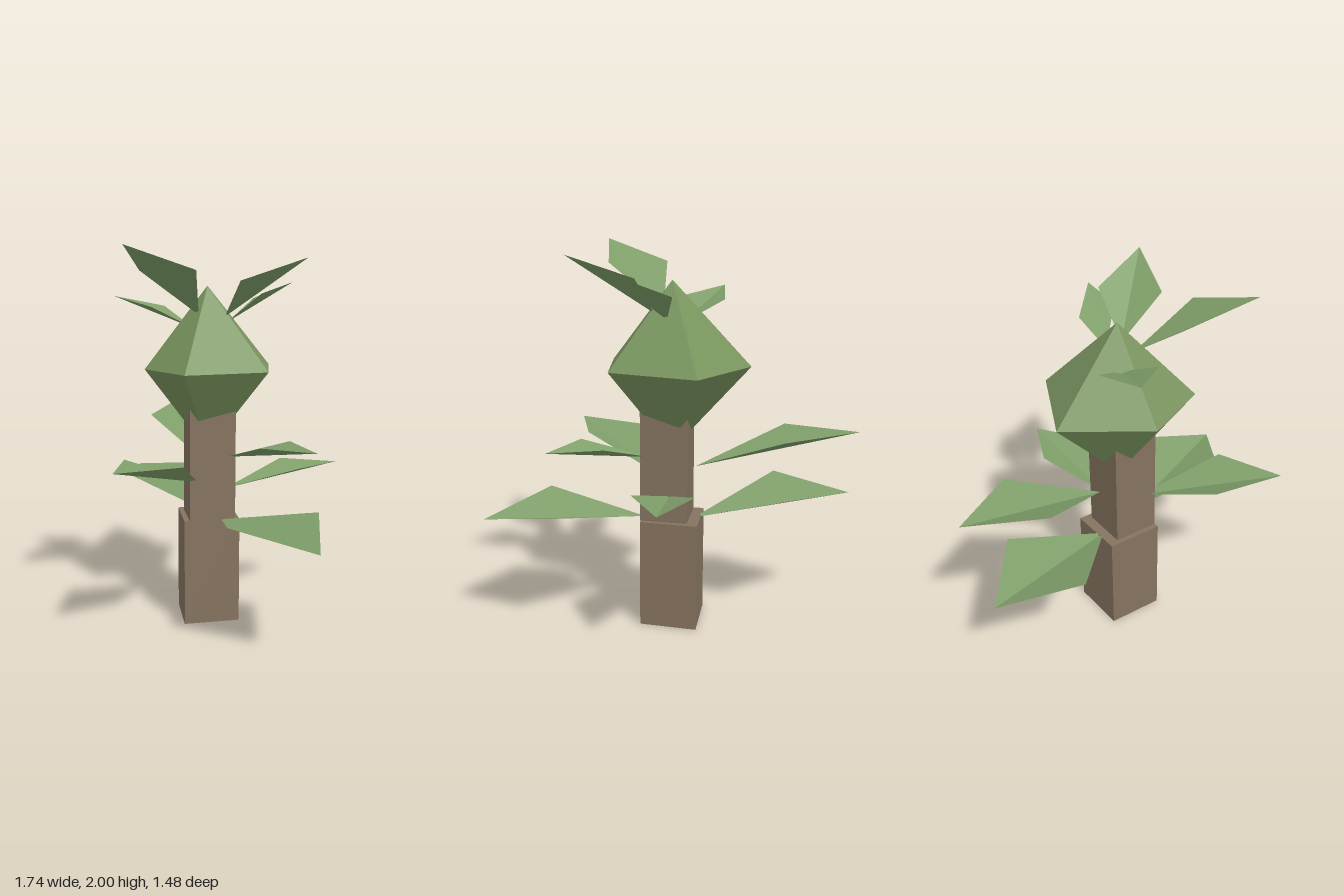
import * as THREE from 'three';

const bark = new THREE.MeshStandardMaterial({ color: 0x85735f, flatShading: true });
const crownGreen = new THREE.MeshStandardMaterial({ color: 0x7a955f, flatShading: true });
const leafGreen = new THREE.MeshStandardMaterial({ color: 0x7f9f6a, flatShading: true, side: THREE.DoubleSide });

// Flat-shaded mesh from a list of triangles, each made of three [x, y, z] points
function facetMesh(name, triangles, material) {
  const geometry = new THREE.BufferGeometry();
  geometry.setAttribute('position', new THREE.Float32BufferAttribute(triangles.flat(2), 3));
  geometry.computeVertexNormals();
  const mesh = new THREE.Mesh(geometry, material);
  mesh.name = name;
  return mesh;
}

// Four-sided trunk block with its corners on the x and z axes
function trunkBlock(name, rx, rz, x, z, y0, y1) {
  const geometry = new THREE.CylinderGeometry(1, 1, y1 - y0, 4);
  geometry.scale(rx, 1, rz);
  const mesh = new THREE.Mesh(geometry, bark);
  mesh.name = name;
  mesh.position.set(x, (y0 + y1) / 2, z);
  return mesh;
}

// Kite-shaped leaf folded along its midrib
function leaf(name, base, left, right, tip) {
  return facetMesh(name, [[base, tip, left], [base, right, tip]], leafGreen);
}

export function createModel() {
  const model = new THREE.Group();
  model.name = 'stylizedTree';

  // Trunk
  model.add(trunkBlock('lowerTrunk', 0.205, 0.22, -0.03, -0.12, 0, 0.575));
  model.add(trunkBlock('upperTrunk', 0.17, 0.178, -0.01, -0.1, 0.575, 1.25));

  // Crown: two five-sided pyramids joined at a ring
  const ringY = 1.375;
  const ring = [[0.35, -0.11], [0.095, 0.265], [-0.27, 0.125], [-0.355, -0.35], [0.105, -0.52]]
    .map(([x, z]) => [x, ringY, z]);
  const top = [-0.03, 1.81, -0.11];
  const bottom = [-0.03, 0.93, -0.11];
  const facets = [];
  ring.forEach((a, i) => {
    const b = ring[(i + 1) % ring.length];
    facets.push([top, b, a], [bottom, a, b]);
  });
  model.add(facetMesh('crown', facets, crownGreen));

  // Leaves: base, left corner, right corner, tip
  const trunkLeaves = [
    [[-0.12, 0.85, -0.2], [-0.6, 1.045, -0.34], [-0.33, 1.04, -0.65], [-0.75, 1.06, -0.74]],
    [[-0.12, 0.565, -0.19], [-0.69, 0.725, -0.16], [-0.43, 0.725, -0.63], [-0.87, 0.675, -0.57]],
    [[0.1, 0.575, -0.055], [0.65, 0.685, -0.12], [0.43, 0.685, 0.385], [0.87, 0.605, 0.28]],
    [[-0.015, 0.775, 0], [0.185, 0.95, 0.4], [-0.17, 0.95, 0.42], [0.03, 0.96, 0.74]],
    [[0.1, 0.91, -0.1], [0.43, 1.015, -0.2], [0.41, 1.015, 0.065], [0.67, 1, -0.05]],
    [[0.035, 0.71, -0.19], [0.155, 0.83, -0.58], [0.39, 0.83, -0.38], [0.45, 0.825, -0.7]],
  ];
  const crownLeaves = [
    [[0.08, 1.65, -0.11], [0.29, 1.835, -0.265], [0.285, 1.835, 0.06], [0.57, 1.945, -0.1]],
    [[-0.03, 1.66, -0.03], [0.14, 1.885, 0.23], [-0.22, 1.885, 0.22], [-0.05, 2, 0.55]],
    [[-0.1, 1.585, -0.09], [-0.22, 1.7, 0.12], [-0.34, 1.7, -0.14], [-0.51, 1.755, 0.085]],
    [[0.05, 1.62, -0.18], [0.12, 1.745, -0.33], [0.26, 1.77, -0.18], [0.355, 1.827, -0.33]],
  ];
  trunkLeaves.forEach((p, i) => model.add(leaf(`trunkLeaf${i + 1}`, ...p)));
  crownLeaves.forEach((p, i) => model.add(leaf(`crownLeaf${i + 1}`, ...p)));

  return model;
}
